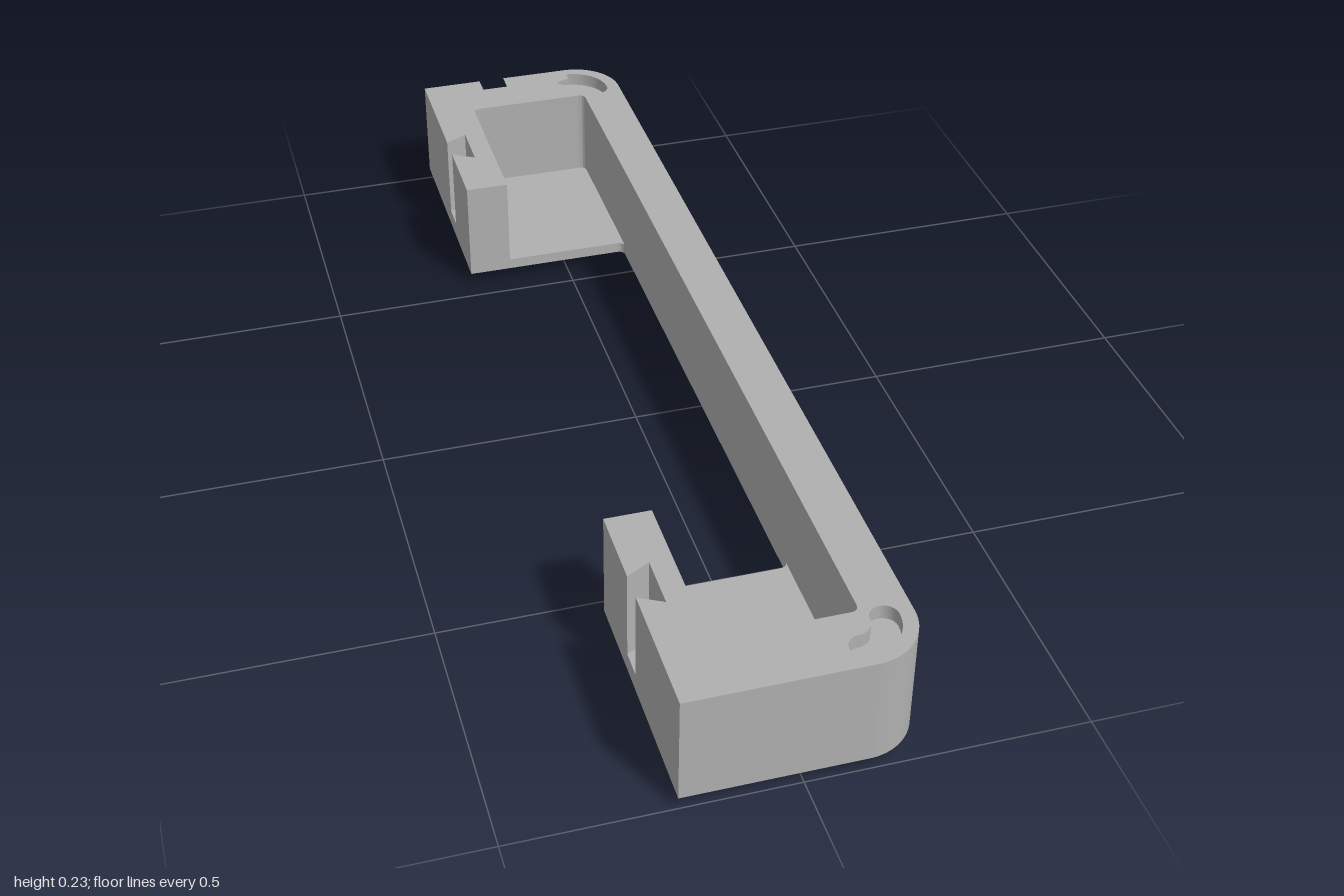
import * as THREE from 'three';
import { toCreasedNormals } from 'three/addons/utils/BufferGeometryUtils.js';

const BASE = 0.023, FLOOR = 0.045, RECESS = 0.203, TOP = 0.23;
const W = 0.21, L = 1, R = 0.1;         // half width, half length, corner radius
const IN = 0.125, MOUTH = 0.548, END = 0.877, F = 0.015; // cavity side, mouth, end wall, fillet
const STEP = 0.96;                      // plane where the notched back slab begins
const GROOVE = 0.725;

export function createModel() {
  const group = new THREE.Group();
  const grey = new THREE.MeshStandardMaterial({ color: 0xb0b0b0 });
  grey.name = 'grey';

  const add = (name, geometry) => {
    const mesh = new THREE.Mesh(toCreasedNormals(geometry, 0.5), grey);
    mesh.name = name;
    group.add(mesh);
  };

  // Extrude a plan shape (x, -z) upward between two heights
  const layer = (name, shape, y0, y1) => {
    const g = new THREE.ExtrudeGeometry(shape, { depth: y1 - y0, bevelEnabled: false, curveSegments: 14 });
    g.rotateX(-Math.PI / 2).translate(0, y0, 0);
    add(name, g);
  };

  // Outer edge shared by all layers: front left corner round to the back
  const outerEdge = () => {
    const s = new THREE.Shape();
    s.moveTo(-W, -L);
    s.lineTo(W - R, -L);
    s.absarc(W - R, -L + R, R, -Math.PI / 2, 0, false);
    s.lineTo(W, L - R);
    s.absarc(W - R, L - R, R, 0, Math.PI / 2, false);
    s.lineTo(W - R, STEP);
    s.lineTo(-W, STEP);
    return s;
  };

  const dovetail = (v) => [[-W, v + 0.026], [-0.166, v + 0.05], [-0.166, v - 0.05], [-W, v - 0.026]];

  // Floor outline, solid under both trays
  const floor = outerEdge();
  floor.lineTo(-W, MOUTH);
  floor.lineTo(IN - F, MOUTH);
  floor.quadraticCurveTo(IN, MOUTH, IN, MOUTH - F);
  floor.lineTo(IN, -MOUTH + F);
  floor.quadraticCurveTo(IN, -MOUTH, IN - F, -MOUTH);
  floor.lineTo(-W, -MOUTH);
  floor.closePath();

  // Wall outline with cavities and dovetail grooves
  const walls = () => {
    const s = outerEdge();
    dovetail(GROOVE).forEach(([x, v]) => s.lineTo(x, v));
    s.lineTo(-W, MOUTH);
    s.lineTo(-IN, MOUTH);
    s.lineTo(-IN, END - F);
    s.quadraticCurveTo(-IN, END, -IN + F, END);
    s.lineTo(IN - F, END);
    s.quadraticCurveTo(IN, END, IN, END - F);
    s.lineTo(IN, -END + F);
    s.quadraticCurveTo(IN, -END, IN - F, -END);
    s.lineTo(-IN + F, -END);
    s.quadraticCurveTo(-IN, -END, -IN, -END + F);
    s.lineTo(-IN, -MOUTH);
    s.lineTo(-W, -MOUTH);
    dovetail(-GROOVE).forEach(([x, v]) => s.lineTo(x, v));
    s.closePath();
    return s;
  };

  // Curved slot hugging a rounded corner; side = 1 back, -1 front
  const bean = (Type, side, half) => {
    const cx = 0.104, cv = 0.9, r = 0.055, pts = [], n = 12;
    const arc = (x, v, rad, a0, a1) => {
      for (let i = 0; i <= n; i++) {
        const a = a0 + (a1 - a0) * i / n;
        pts.push(new THREE.Vector2(x + rad * Math.cos(a), side * (v + rad * Math.sin(a))));
      }
    };
    const q = Math.PI / 2;
    arc(cx, cv, r + half, 0, q);
    arc(cx, cv + r, half, q, 3 * q);
    arc(cx, cv, r - half, q, 0);
    arc(cx + r, cv, half, -2 * q, 0);
    return new Type(pts.filter((p, i) => i === 0 || p.distanceTo(pts[i - 1]) > 1e-5).slice(0, -1));
  };

  const top = walls();
  for (const side of [1, -1]) top.holes.push(bean(THREE.Path, side, 0.025));

  layer('floorAndRailBase', floor, BASE, FLOOR);
  layer('walls', walls(), FLOOR, RECESS);
  layer('recessedRim', top, RECESS, TOP);

  // Pegs under the corners, and closed bottoms of the side grooves
  for (const side of [1, -1]) {
    layer('cornerPeg', bean(THREE.Shape, side, 0.017), 0, BASE);
    const plug = new THREE.Shape(dovetail(side * GROOVE).map(([x, v]) => new THREE.Vector2(x, v)));
    layer('grooveStop', plug, FLOOR, 0.058);
  }

  // Back slab with a dovetail notch in its lower and upper edges
  const nx = -0.058, a = 0.027, b = 0.05, h = 0.045, xr = W - R;
  const slab = new THREE.Shape([
    [-W, BASE], [nx - a, BASE], [nx - b, BASE + h], [nx + b, BASE + h], [nx + a, BASE], [xr, BASE],
    [xr, TOP], [nx + a, TOP], [nx + b, TOP - h], [nx - b, TOP - h], [nx - a, TOP], [-W, TOP],
  ].map(([x, y]) => new THREE.Vector2(x, y)));
  const slabGeometry = new THREE.ExtrudeGeometry(slab, { depth: L - STEP, bevelEnabled: false });
  slabGeometry.translate(0, 0, -L);
  add('notchedBackWall', slabGeometry);

  return group;
}
